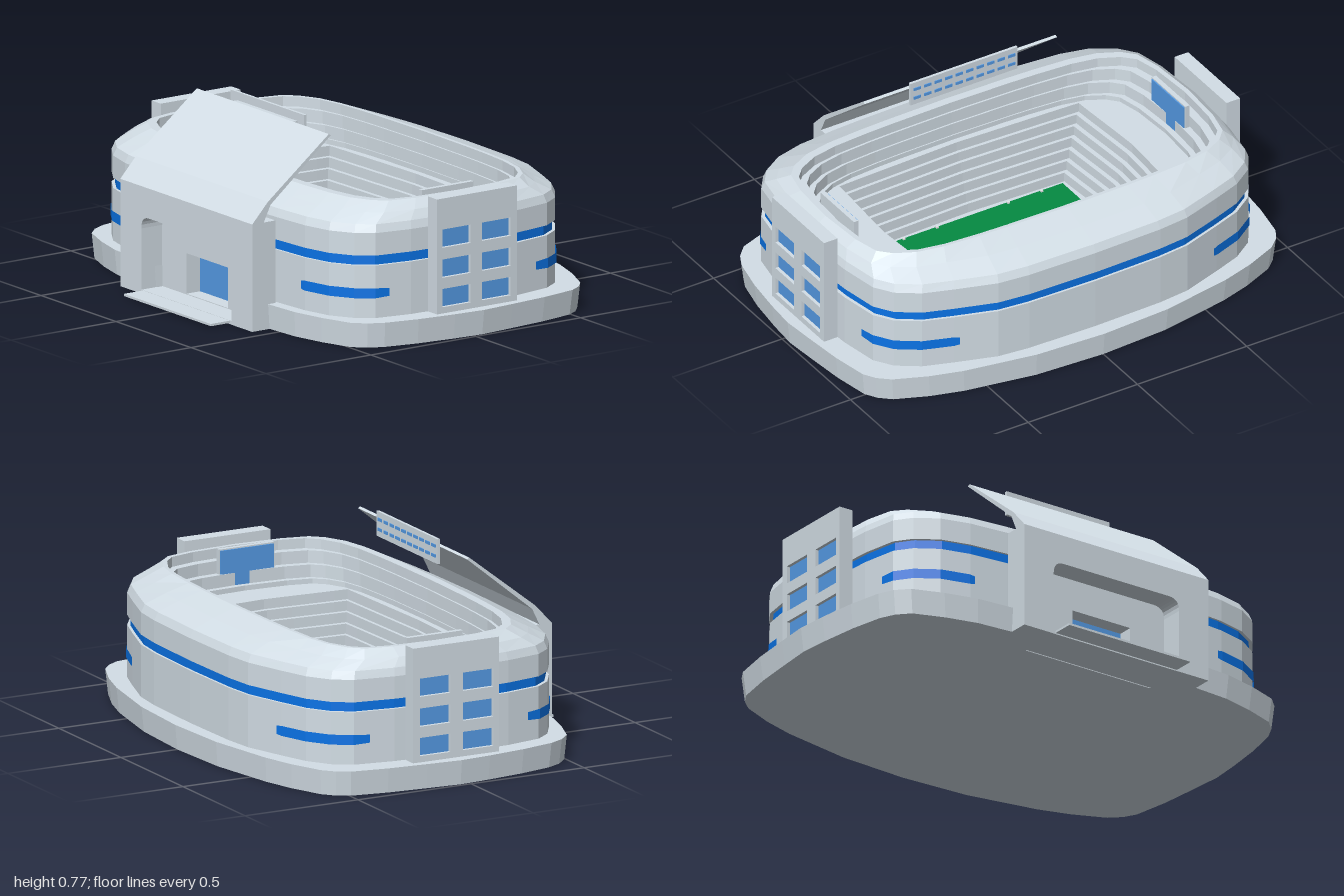
import * as THREE from 'three';

function material(name, color, side = THREE.FrontSide) {
  const m = new THREE.MeshStandardMaterial({ color, side });
  m.name = name;
  return m;
}
const gray = material('concrete gray', 0xd3dee6, THREE.DoubleSide);
const blue = material('band blue', 0x0a74e8, THREE.DoubleSide);
const glass = material('window blue', 0x559be6);
const green = material('pitch green', 0x058a42);
const white = material('marking white', 0xf2f4f6);
const dark = material('post dark', 0x2a2e30);

// Quarter outlines, from the front or back middle to the side middle
const BASE_FRONT = [[0, 1], [.3, .985], [.6, .95], [.735, .9], [.862, .83], [.91, .755], [.94, .66], [.97, .446], [.99, .2], [1, 0]];
const BASE_BACK = [[0, 1], [.3, .978], [.6, .903], [.735, .847], [.868, .768], [.915, .71], [.945, .64], [.972, .43], [.988, .2], [1, 0]];
const FRONT = [[0, 1], [.333, .99], [.48, .98], [.667, .955], [.8, .905], [.9, .81], [.955, .7], [.985, .45], [1, 0]];
const BACK = [[0, 1], [.333, .99], [.48, .968], [.667, .885], [.8, .82], [.9, .725], [.955, .61], [.985, .36], [1, 0]];
const RECT = [[0, 1], [.3, .985], [.5, .975], [.8, .96], [.96, .95], [.965, .8], [.975, .58], [.988, .3], [1, 0]];

// Full ring with its own shape and depth for the front and back halves
function ring(hx, hz, zc, y, q = FRONT, qb = q, hzb = hz) {
  const half = [
    ...q.map(([x, z]) => [x * hx, zc + z * hz]),
    ...qb.slice(0, -1).reverse().map(([x, z]) => [x * hx, zc - z * hzb]),
  ];
  const all = [...half, ...half.slice(1, -1).reverse().map(([x, z]) => [-x, z])];
  return all.map(([x, z]) => new THREE.Vector3(x, y, z));
}

function meshData(pos) {
  const g = new THREE.BufferGeometry();
  g.setAttribute('position', new THREE.Float32BufferAttribute(pos, 3));
  g.computeVertexNormals();
  return g;
}

// Flat-faced skin over stacked rings; gap leaves out the front middle
function skin(rings, gap = false) {
  const pos = [];
  const n = rings[0].length;
  for (let k = 0; k < rings.length - 1; k++) {
    for (let i = gap ? 1 : 0; i < (gap ? n - 1 : n); i++) {
      const j = (i + 1) % n;
      const [a, b, c, d] = [rings[k][i], rings[k][j], rings[k + 1][j], rings[k + 1][i]];
      for (const p of [a, b, c, a, c, d]) pos.push(p.x, p.y, p.z);
    }
  }
  return meshData(pos);
}

// Outline depth at a given x
function depthAt(q, x) {
  const i = q.findIndex((p) => p[0] >= x);
  const [a, b] = [q[i - 1], q[i]];
  return THREE.MathUtils.mapLinear(x, a[0], b[0], a[1], b[1]);
}

const shapeOf = (pts) => new THREE.Shape(pts.map(([x, y]) => new THREE.Vector2(x, y)));
const rect = (x0, y0, x1, y1) => [[x0, y0], [x1, y0], [x1, y1], [x0, y1]];
const extrude = (shape, depth) => new THREE.ExtrudeGeometry(shape, { depth, bevelEnabled: false, curveSegments: 6 });
// Shape drawn in (z, y), extruded from x0 to x1
const extrudeX = (shape, x0, x1) => extrude(shape, x1 - x0).rotateY(-Math.PI / 2).translate(x1, 0, 0);

export function createModel() {
  const model = new THREE.Group();
  model.name = 'stadium';
  const add = (name, geo, mat) => {
    const m = new THREE.Mesh(geo, mat);
    m.name = name;
    model.add(m);
  };
  const box = (name, mat, x0, x1, y0, y1, z0, z1) => add(name,
    new THREE.BoxGeometry(x1 - x0, y1 - y0, z1 - z0).translate((x0 + x1) / 2, (y0 + y1) / 2, (z0 + z1) / 2), mat);

  // Plinth with a notch for the entrance, slightly narrower at the foot
  const outline = ring(1, .65, -.04, 0, BASE_FRONT, BASE_BACK, .72).slice(1).map((p) => [p.x, p.z]);
  outline.push([-.3, .48], [.3, .48]);
  const plinth = extrude(shapeOf(outline), .1).rotateX(Math.PI / 2).translate(0, .1, 0);
  const pp = plinth.attributes.position;
  for (let i = 0; i < pp.count; i++) {
    if (pp.getY(i) < .05) pp.setXYZ(i, pp.getX(i) * .988, 0, pp.getZ(i) * .988);
  }
  plinth.computeVertexNormals();
  add('plinth', plinth, gray);

  // Outer wall with a recessed blue band
  const wall = (s, y) => ring(.9 * s, .595 * s, -.04, y, FRONT, BACK, .655 * s);
  add('lowerWall', skin([wall(1, .1), wall(1, .31)], true), gray);
  add('bandSill', skin([wall(1, .31), wall(.985, .31)]), gray);
  add('windowBand', skin([wall(.985, .31), wall(.985, .35)]), blue);

  // Upper wall, sloping roof ring and rim
  add('roofRing', skin([
    wall(.985, .35), wall(1, .35), wall(1, .44),
    ring(.89, .582, -.04, .472, FRONT, BACK, .64),
    ring(.868, .51, -.042, .507, FRONT, BACK, .55),
    ring(.83, .445, -.045, .54), ring(.81, .42, -.055, .54),
  ]), gray);

  // Stepped stands: curved upper tiers, end platforms, rectangular lower rows
  const tiers = [
    ring(.81, .42, -.055, .54), ring(.81, .42, -.055, .5), ring(.775, .412, -.055, .5),
    ring(.775, .412, -.055, .45), ring(.745, .405, -.055, .45),
    ring(.745, .405, -.055, .4), ring(.72, .4, -.055, .4), ring(.72, .4, -.055, .38),
  ];
  const rows = 8;
  for (let k = 0; k <= rows; k++) {
    const t = k / rows;
    const row = (y) => ring(.59 - .16 * t, .39 - .125 * t, -.055 + .015 * t, y, RECT);
    tiers.push(row(.38 - .28 * Math.max(0, k - 1) / (rows - 1)));
    if (k > 0 && k < rows) tiers.push(row(.38 - .28 * k / (rows - 1)));
  }
  add('stands', skin(tiers), gray);
  box('arenaFloor', gray, -.43, .43, .09, .1, -.3, .22);

  // Pitch, posts, edge markers and benches
  box('pitch', green, -.415, .415, .1, .106, -.29, .21);
  for (const s of [-1, 1]) {
    for (const z of [-.07, -.015]) box('goalPost', dark, s * .315 - .002, s * .315 + .002, .106, .17, z - .002, z + .002);
    box('crossbar', dark, s * .315 - .002, s * .315 + .002, .125, .129, -.07, -.015);
    for (const [x, z] of [[.163, -.283], [.163, .204], [.315, .204]]) {
      box('edgeMarker', white, s * x - .005, s * x + .005, .106, .112, z - .006, z + .006);
    }
  }
  box('blueBench', blue, -.24, -.01, .11, .165, .26, .272);
  box('grayBench', gray, .01, .25, .11, .165, .26, .272);

  // Window strips around the four lower corners
  for (const sx of [-1, 1]) {
    for (const [sz, q, depth] of [[1, FRONT, .595], [-1, BACK, .655]]) {
      const arc = [[.642, depthAt(q, .642)], ...q.slice(3, 7), [.967, depthAt(q, .967)]]
        .map(([x, z]) => [sx * (x * .9 + .003), sz * (z * depth + .004) - .04]);
      const pos = [];
      for (let i = 0; i < arc.length - 1; i++) {
        // The strip ends are slightly narrowed
        const h = (k) => (k === 0 || k === arc.length - 1 ? .016 : .02);
        const [a, b] = sx * sz > 0 ? [i, i + 1] : [i + 1, i];
        const corner = (k, s) => [arc[k][0], .2 + s * h(k), arc[k][1]];
        const [A, B, C, D] = [corner(a, -1), corner(b, -1), corner(b, 1), corner(a, 1)];
        pos.push(...A, ...B, ...C, ...A, ...C, ...D);
      }
      add('cornerWindow', meshData(pos), blue);
    }
  }

  // End towers with six inset windows, and a screen at each end of the stands
  for (const s of [-1, 1]) {
    const span = (a, b) => [Math.min(s * a, s * b), Math.max(s * a, s * b)];
    const tower = shapeOf(rect(-.23, .1, .15, .56));
    for (const z of [-.2, -.01]) {
      for (const y of [.125, .243, .363]) {
        tower.holes.push(shapeOf(rect(z, y, z + .135, y + .073)));
        box('towerWindow', glass, ...span(.89, .938), y, y + .073, z, z + .135);
      }
    }
    add('tower', extrudeX(tower, ...span(.89, .952)), gray);
    box('screenCase', gray, ...span(.748, .768), .385, .55, -.155, .09);
    box('screenFace', glass, ...span(.743, .749), .39, .545, -.15, .085);
    for (const z of [-.145, .08]) box('screenBracket', gray, ...span(.76, .82), .45, .47, z - .006, z + .006);
  }

  // Entrance block with a rounded portal
  const r = .05;
  const front = new THREE.Shape();
  front.moveTo(-.44, 0).lineTo(-.3, 0).lineTo(-.3, .31 - r);
  front.quadraticCurveTo(-.3, .31, -.3 + r, .31).lineTo(.3 - r, .31);
  front.quadraticCurveTo(.3, .31, .3, .31 - r).lineTo(.3, 0);
  front.lineTo(.44, 0).lineTo(.44, .43).lineTo(-.44, .43).closePath();
  add('entranceBlock', extrude(front, .11).translate(0, 0, .555), gray);
  const inner = shapeOf(rect(-.3, 0, .3, .31));
  inner.holes.push(shapeOf(rect(-.138, .018, .138, .18)));
  add('portalWall', extrude(inner, .08).translate(0, 0, .485), gray);
  box('entranceDoor', glass, -.138, .138, .018, .18, .49, .5);
  box('portalFloor', gray, -.3, .3, 0, .015, .48, .664);
  box('entranceStep', gray, -.29, .29, .005, .014, .66, .755);

  // Slanted canopy and the lamp board on its edge
  const canopy = shapeOf([[.665, .43], [.59, .51], [.3, .738], [.29, .732], [.578, .496], [.61, .43]]);
  add('canopy', extrudeX(canopy, -.44, .44), gray);
  box('lampArm', gray, -.2, .2, .727, .737, .272, .3);
  box('lampBoard', gray, -.245, .245, .67, .77, .266, .278);
  for (const y of [.7, .74]) {
    for (let i = 0; i < 10; i++) {
      const x = -.216 + i * .048;
      box('lamp', glass, x - .016, x + .016, y - .006, y + .006, .262, .267);
    }
  }
  return model;
}
